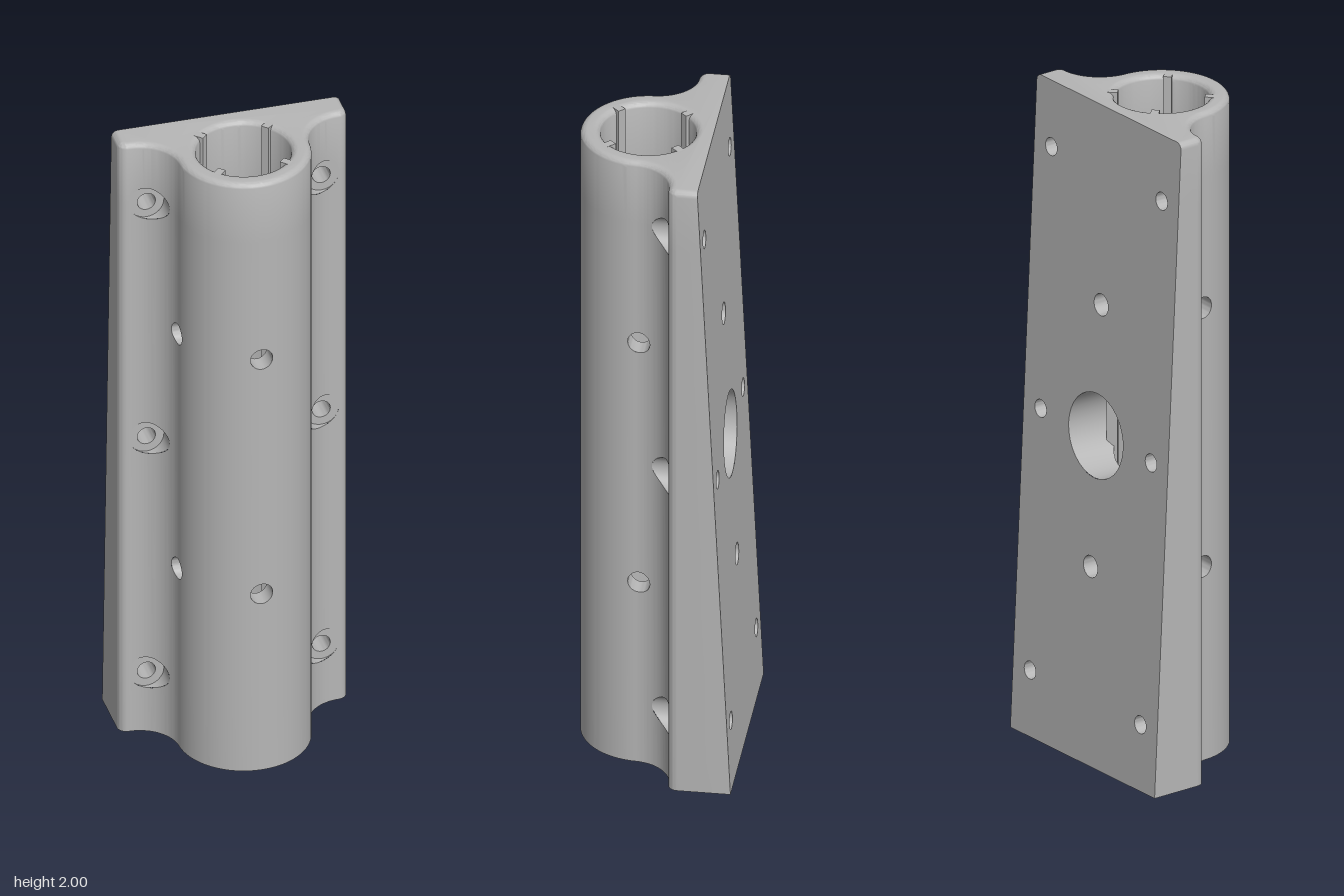
import * as THREE from 'three';
import { toCreasedNormals } from 'three/addons/utils/BufferGeometryUtils.js';

// Overall dimensions
const H = 2, ROUND = 0.02, HALF = 0.34;
const CZ = 0.045, R_OUT = 0.195, R_BORE = 0.137;        // tube
const FLANGE_Z = -0.057, CORNER = 0.028, EDGE_X = HALF - CORNER;
const R_FIL = 0.1174, FIL_Z = FLANGE_Z + R_FIL;         // fillet between flange and tube
const BOLT_X = 0.26, R_BOLT = 0.027, R_SINK = 0.052;    // flange bolts
const R_PIN = 0.033, R_BIG = 0.128;                     // cross holes and rear window
const HOLE_Y = [0.2, 0.6, 1, 1.4, 1.8];
const backZ = y => -0.24 + 0.048 * y;                   // tapered back plane
const V = (x, y, z) => new THREE.Vector3(x, y, z);

// Collects triangles, each turned to face along a hint direction
function builder() {
  const pos = [];
  const tri = (a, b, c, hint) => {
    const n = b.clone().sub(a).cross(c.clone().sub(a));
    if (n.length() < 1e-10) return;
    for (const p of n.dot(hint) < 0 ? [a, c, b] : [a, b, c]) pos.push(p.x, p.y, p.z);
  };
  const quad = (a, b, c, d, hint) => { tri(a, b, c, hint); tri(a, c, d, hint); };
  const mesh = (name, material) => {
    const g = new THREE.BufferGeometry();
    g.setAttribute('position', new THREE.Float32BufferAttribute(pos, 3));
    const m = new THREE.Mesh(toCreasedNormals(g, 0.5), material);
    m.name = name;
    return m;
  };
  return { tri, quad, mesh };
}

const arc = (cx, cz, r, a0, a1, n) => Array.from({ length: n + 1 }, (_, i) => {
  const a = a0 + (a1 - a0) * i / n;
  return { x: cx + r * Math.cos(a), z: cz + r * Math.sin(a) };
});

// Columns exactly at the rim samples of a hole
const rim = (c, r) => Array.from({ length: 17 }, (_, k) => c + r * Math.cos(k * Math.PI / 16));

// Add points to a polyline wherever it crosses the given coordinate values
function split(poly, key, values) {
  const out = [poly[0]];
  for (let i = 1; i < poly.length; i++) {
    const a = poly[i - 1], b = poly[i], d = b[key] - a[key];
    if (Math.abs(d) > 1e-7) {
      values.map(v => (v - a[key]) / d).filter(t => t > 1e-4 && t < 1 - 1e-4).sort((p, q) => p - q)
        .forEach(t => out.push({ x: a.x + (b.x - a.x) * t, z: a.z + (b.z - a.z) * t }));
    }
    out.push(b);
  }
  return out;
}

// Half height of a round hole at coordinate u
const chord = (u, c, r) => Math.sqrt(Math.max(0, r * r - (u - c) ** 2));

// Vertical columns that stop above and below each hole
function columns(b, pts, gaps, at, hint) {
  const levels = pts.map(p => {
    const g = gaps(p);
    return [0, ...HOLE_Y.flatMap((y, k) => [y - g[k], y + g[k]]), H - ROUND];
  });
  for (let i = 0; i + 1 < pts.length; i++) {
    const l = levels[i], m = levels[i + 1];
    for (let k = 0; k < l.length; k += 2) {
      b.quad(at(i, l[k]), at(i + 1, m[k]), at(i + 1, m[k + 1]), at(i, l[k + 1]), hint(i));
    }
  }
}

// Rounding steps at the top: [inset, height]
const topSteps = Array.from({ length: 7 }, (_, k) => {
  const a = k / 6 * Math.PI / 2;
  return [ROUND * (1 - Math.cos(a)), H - ROUND + ROUND * Math.sin(a)];
});

// Pierced wall along a profile with a rounded top edge; returns the top contour
function wall(b, pts, normals, gaps, at) {
  const hint = i => V(normals[i].x + normals[i + 1].x, 0, normals[i].z + normals[i + 1].z);
  columns(b, pts, gaps, (i, y) => at(i, y, 0), hint);
  for (let k = 0; k < 6; k++) {
    const [o0, y0] = topSteps[k], [o1, y1] = topSteps[k + 1];
    for (let i = 0; i + 1 < pts.length; i++) {
      b.quad(at(i, y0, o0), at(i + 1, y0, o0), at(i + 1, y1, o1), at(i, y1, o1), hint(i).setY(0.5));
    }
  }
  return pts.map((_, i) => at(i, H, ROUND));
}

function cap(b, outer, inner, up) {
  const flat = l => l.map(p => new THREE.Vector2(p.x, p.z));
  const all = [...outer, ...inner];
  for (const [i, j, k] of THREE.ShapeUtils.triangulateShape(flat(outer), [flat(inner)])) {
    b.tri(all[i], all[j], all[k], V(0, up, 0));
  }
}

// Hole lining: p(c, s, end) gives the rim point at either end, toAxis the facing direction
function tunnel(b, p, toAxis) {
  for (let k = 0; k < 32; k++) {
    const [a, c] = [k, k + 1].map(j => j / 32 * Math.PI * 2), m = (a + c) / 2;
    const q = (t, e) => p(Math.cos(t), Math.sin(t), e);
    b.quad(q(a, 0), q(c, 0), q(c, 1), q(a, 1), toAxis(Math.cos(m), Math.sin(m)));
  }
}
const tunnelZ = (b, cx, cy, r, z0, z1) => tunnel(b, (c, s, e) => {
  const x = cx + r * c, y = cy + r * s;
  return V(x, y, (e ? z1 : z0)(x, y));
}, (c, s) => V(-c, -s, 0));

export function createModel() {
  const group = new THREE.Group();
  const grey = new THREE.MeshStandardMaterial({ color: 0xb6b6b6 });
  grey.name = 'grey';

  // Outer profile, right half then mirrored
  const tangent = Math.atan2(FIL_Z - CZ, EDGE_X);
  let half = [
    { x: HALF, z: backZ(0) },
    ...arc(EDGE_X, FLANGE_Z - CORNER, CORNER, 0, Math.PI / 2, 8),
    ...arc(EDGE_X, FIL_Z, R_FIL, -Math.PI / 2, -Math.PI + tangent, 20).slice(1),
    ...arc(0, CZ, R_OUT, tangent, Math.PI / 2, 28).slice(1),
  ];
  half = split(split(half, 'x', [...rim(BOLT_X, R_SINK), ...rim(0, R_PIN)]), 'z', rim(CZ, R_PIN));
  const outer = [...half, ...half.slice(0, -1).reverse().map(p => ({ x: -p.x, z: p.z }))];
  const last = outer.length - 1;
  const outerN = outer.map((p, i) => {
    if (i === 0 || i === last) return { x: Math.sign(p.x), z: 0 };
    const a = outer[i - 1], c = outer[i + 1], l = Math.hypot(c.x - a.x, c.z - a.z);
    return { x: (c.z - a.z) / l, z: (a.x - c.x) / l };
  });
  outerN[1] = { x: 1, z: 0 };
  outerN[last - 1] = { x: -1, z: 0 };
  const outerAt = (i, y, off) => V(outer[i].x - outerN[i].x * off, y,
    i === 0 || i === last ? backZ(y) : outer[i].z - outerN[i].z * off);
  const outerGaps = p => {
    const sink = chord(Math.abs(p.x), BOLT_X, R_SINK);
    const pin = Math.max(chord(p.x, 0, R_PIN), chord(p.z, CZ, R_PIN));
    return [sink, pin, sink, pin, sink];
  };

  // Bore profile
  let bore = arc(0, CZ, R_BORE, Math.PI * 2, 0, 72);
  bore = split(split(bore, 'x', [...rim(0, R_PIN), ...rim(0, R_BIG)]), 'z', rim(CZ, R_PIN));
  const boreN = bore.map(p => {
    const l = Math.hypot(p.x, p.z - CZ);
    return { x: -p.x / l, z: (CZ - p.z) / l };
  });
  const boreAt = (i, y, off) => V(bore[i].x - boreN[i].x * off, y, bore[i].z - boreN[i].z * off);
  const boreGaps = p => {
    const pin = Math.max(chord(p.x, 0, R_PIN), chord(p.z, CZ, R_PIN));
    return [0, pin, p.z < CZ ? chord(p.x, 0, R_BIG) : 0, pin, 0];
  };

  // Body: outer wall, bore wall and end faces
  const body = builder();
  const topOuter = wall(body, outer, outerN, outerGaps, outerAt);
  const topBore = wall(body, bore, boreN, boreGaps, boreAt);
  cap(body, topOuter, topBore.slice(0, -1), 1);
  cap(body, outer.map((_, i) => outerAt(i, 0, 0)), bore.slice(0, -1).map((_, i) => boreAt(i, 0, 0)), -1);
  group.add(body.mesh('bracketBody', grey));

  // Tapered back face
  const back = builder(), rear = V(0, 0, -1);
  const xs = split([{ x: -HALF, z: 0 }, { x: HALF, z: 0 }], 'x',
    [...rim(BOLT_X, R_BOLT), ...rim(-BOLT_X, R_BOLT), ...rim(0, R_PIN), ...rim(0, R_BIG)]);
  columns(back, xs, p => {
    const bolt = chord(Math.abs(p.x), BOLT_X, R_BOLT), pin = chord(p.x, 0, R_PIN);
    return [bolt, pin, Math.max(bolt, chord(p.x, 0, R_BIG)), pin, bolt];
  }, (i, y) => V(xs[i].x, y, backZ(y)), () => rear);
  for (let k = 0; k < 6; k++) {
    const [o0, y0] = topSteps[k], [o1, y1] = topSteps[k + 1];
    back.quad(V(o0 - HALF, y0, backZ(y0)), V(HALF - o0, y0, backZ(y0)),
      V(HALF - o1, y1, backZ(y1)), V(o1 - HALF, y1, backZ(y1)), rear);
  }
  group.add(back.mesh('backFace', grey));

  // Counterbored flange bolt holes
  const bolts = builder();
  const toBack = (x, y) => backZ(y), floor = () => FLANGE_Z;
  const filletZ = x => FIL_Z - chord(Math.abs(x), EDGE_X, R_FIL);
  for (const x of [-BOLT_X, BOLT_X]) for (const y of [0.2, 1, 1.8]) {
    tunnelZ(bolts, x, y, R_SINK, filletZ, floor);
    tunnelZ(bolts, x, y, R_BOLT, floor, toBack);
    tunnel(bolts, (c, s, e) => {
      const r = e ? R_BOLT : R_SINK;
      return V(x + r * c, y + r * s, FLANGE_Z);
    }, () => V(0, 0, 1));
  }
  group.add(bolts.mesh('boltHoles', grey));

  // Cross pin holes and the large rear window
  const pins = builder();
  const boreBack = x => CZ - chord(x, 0, R_BORE);
  for (const y of [0.6, 1.4]) {
    tunnelZ(pins, 0, y, R_PIN, x => CZ + chord(x, 0, R_OUT), x => CZ + chord(x, 0, R_BORE));
    tunnelZ(pins, 0, y, R_PIN, boreBack, toBack);
    for (const side of [-1, 1]) tunnel(pins, (c, s, e) => {
      const u = R_PIN * c, z = CZ + u;
      const onFillet = z < CZ + R_OUT * Math.sin(tangent);
      const xOut = onFillet ? EDGE_X - chord(z, FIL_Z, R_FIL) : chord(u, 0, R_OUT);
      return V(side * (e ? chord(u, 0, R_BORE) : xOut), y + R_PIN * s, z);
    }, (c, s) => V(0, -s, -c));
  }
  tunnelZ(pins, 0, 1, R_BIG, boreBack, toBack);
  group.add(pins.mesh('pinHolesAndWindow', grey));

  // Four guide ribs inside the bore
  const ribGeo = new THREE.BoxGeometry(0.032, 1.8, 0.024);
  for (let k = 0; k < 4; k++) {
    const a = Math.PI / 4 + k * Math.PI / 2;
    const rib = new THREE.Mesh(ribGeo, grey);
    rib.name = 'boreRib';
    rib.position.set(0.142 * Math.cos(a), H - 0.9, CZ + 0.142 * Math.sin(a));
    rib.rotation.y = -a;
    group.add(rib);
  }
  return group;
}
